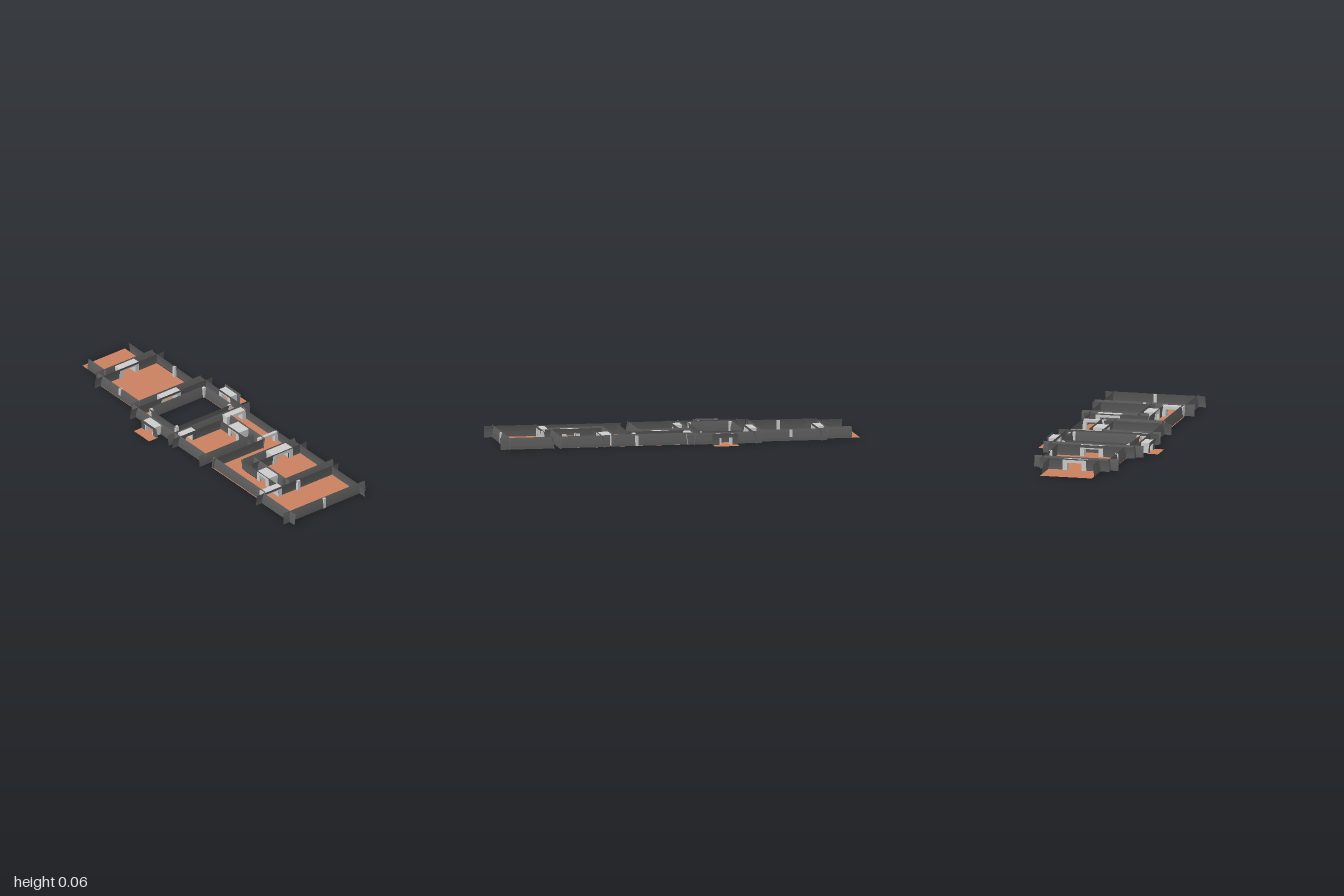
import * as THREE from 'three';

const H = 0.063, DOOR_H = 0.04;
const wallMat = new THREE.MeshStandardMaterial({ color: 0x5c5c5c, side: THREE.DoubleSide, flatShading: true });
const floorMat = new THREE.MeshStandardMaterial({ color: 0xc9805f, side: THREE.DoubleSide });
const greyMat = new THREE.MeshStandardMaterial({ color: 0xcccccc });

export function createModel() {
  const model = new THREE.Group();
  const add = (name, geo, mat) => {
    const m = new THREE.Mesh(geo, mat);
    m.name = name;
    model.add(m);
    return m;
  };

  // flat floor with optional rectangular hole
  const rect = (S, x0, x1, z0, z1) => {
    const s = new S();
    s.moveTo(x0, -z0).lineTo(x1, -z0).lineTo(x1, -z1).lineTo(x0, -z1).closePath();
    return s;
  };
  const floor = (name, x0, x1, z0, z1, hole) => {
    const s = rect(THREE.Shape, x0, x1, z0, z1);
    if (hole) s.holes.push(rect(THREE.Path, ...hole));
    add(name, new THREE.ShapeGeometry(s).rotateX(-Math.PI / 2), floorMat);
  };

  // thin wall whose top curves sideways by lean; 'x' runs along x, 'z' along z
  const sheet = (name, axis, at, a, b, y0, y1, lean) => {
    const g = new THREE.PlaneGeometry(b - a, y1 - y0, 1, 4);
    g.translate((a + b) / 2, (y0 + y1) / 2, 0);
    const p = g.attributes.position;
    for (let i = 0; i < p.count; i++) {
      const u = p.getX(i), y = p.getY(i), v = at + lean * 0.009 * (y / H) ** 2;
      axis === 'x' ? p.setXYZ(i, u, y, v) : p.setXYZ(i, v, y, u);
    }
    g.computeVertexNormals();
    add(name, g, wallMat);
  };
  const wall = (name, axis, at, a, b, lean, door) => {
    if (!door) return sheet(name, axis, at, a, b, 0, H, lean);
    const [d0, d1] = door;
    if (d0 > a) sheet(name, axis, at, a, d0, 0, H, lean);
    if (d1 < b) sheet(name, axis, at, d1, b, 0, H, lean);
    sheet(name + 'Lintel', axis, at, d0, d1, DOOR_H, H, lean);
  };

  // doorway: two jambs, a lintel and a threshold bridging the gap
  const doorway = (axis, a, b, g0, g1) => {
    const s = new THREE.Shape();
    const t = 0.024;
    s.moveTo(a, 0).lineTo(a + t, 0).lineTo(a + t, DOOR_H).lineTo(b - t, DOOR_H);
    s.lineTo(b - t, 0).lineTo(b, 0).lineTo(b, 0.056).lineTo(a, 0.056).closePath();
    const geo = new THREE.ExtrudeGeometry(s, { depth: g1 - g0, bevelEnabled: false });
    if (axis === 'z') geo.rotateY(-Math.PI / 2).translate(g1, 0, 0);
    else geo.translate(0, 0, g0);
    add('doorway', geo, greyMat);
    axis === 'x' ? floor('threshold', a, b, g0, g1) : floor('threshold', g0, g1, a, b);
  };
  const post = (x, z) => add('post', new THREE.BoxGeometry(0.016, 0.06, 0.016), greyMat).position.set(x, 0.03, z);

  // floors
  floor('porchFloor', -0.145, 0.145, -1, -0.81);
  floor('backRoomFloor', -0.195, 0.19, -0.775, -0.44);
  floor('courtyardFloor', -0.24, 0.24, -0.405, -0.065, [-0.18, 0.18, -0.345, -0.12]);
  floor('middleRoomFloor', -0.24, 0.05, -0.03, 0.21);
  floor('passageFloor', 0.11, 0.23, -0.03, 0.25);
  floor('passageFloor', -0.23, 0.23, 0.25, 0.385);
  floor('passageFloor', -0.23, -0.11, 0.385, 0.675);
  floor('frontRoomFloor', -0.05, 0.24, 0.43, 0.675);
  floor('entranceFloor', -0.24, 0.24, 0.71, 0.955);

  // mirrored side walls, posts and side alcoves
  for (const s of [-1, 1]) {
    wall('porchSideWall', 'z', s * 0.145, -0.955, -0.8, -s);
    wall('backRoomSideWall', 'z', s * 0.193, -0.81, -0.44, -s);
    wall('courtyardSideWall', 'z', s * 0.24, -0.44, -0.03, -s, [-0.27, -0.2]);
    wall('courtyardInnerWall', 'z', s * 0.182, -0.345, -0.12, s);
    wall('alcoveWall', 'z', s * 0.281, -0.3, -0.16, s, [-0.27, -0.2]);
    const [a0, a1] = s > 0 ? [0.275, 0.335] : [-0.335, -0.275];
    floor('alcoveFloor', a0, a1, -0.3, -0.165);
    doorway('z', -0.285, -0.185, s > 0 ? 0.235 : -0.281, s > 0 ? 0.281 : -0.235);
    wall('entranceSideWall', 'z', s * 0.24, 0.71, 1, -s);
    post(s * 0.184, -0.61);
    for (const z of [-0.345, -0.12]) post(s * 0.18, z);
  }
  post(0, 0.722);
  post(0, 0.95);

  // back room and courtyard cross walls
  const mid = [-0.042, 0.042];
  wall('backRoomWall', 'x', -0.81, -0.195, 0.195, -1, mid);
  wall('backRoomWall', 'x', -0.775, -0.235, 0.235, 1, mid);
  wall('courtyardWall', 'x', -0.44, -0.24, 0.24, -1, mid);
  wall('courtyardWall', 'x', -0.405, -0.28, 0.28, 1, mid);
  wall('courtyardInnerWall', 'x', -0.345, -0.18, 0.18, -1);
  wall('courtyardInnerWall', 'x', -0.12, -0.18, 0.18, 1);
  wall('courtyardWall', 'x', -0.065, -0.28, 0.115, -1, [-0.19, -0.14]);
  wall('courtyardWall', 'x', -0.065, 0.115, 0.28, -1, [0.125, 0.2]);
  doorway('x', -0.065, 0.065, -0.818, -0.77);
  doorway('x', -0.065, 0.065, -0.445, -0.4);
  doorway('x', -0.21, -0.12, -0.07, -0.03);
  doorway('x', 0.095, 0.225, -0.07, -0.03);

  // middle room
  wall('middleRoomWall', 'x', -0.03, -0.28, 0.05, 1, [-0.19, -0.14]);
  wall('middleRoomWall', 'x', 0.21, -0.28, 0.095, -1);
  wall('middleRoomWall', 'z', -0.24, -0.065, 0.21, 1);
  wall('middleRoomWall', 'z', 0.05, 0.05 - 0.1, 0.25, -1, [0.065, 0.11]);
  doorway('z', 0.04, 0.135, 0.045, 0.115);

  // winding passage
  wall('passageWall', 'z', 0.11, -0.03, 0.275, 1, [0.065, 0.11]);
  wall('passageWall', 'z', 0.225, -0.065, 0.385, -1);
  wall('passageWall', 'x', 0.265, -0.23, 0.11, 1);
  wall('passageWall', 'x', 0.378, -0.11, 0.25, -1, [0.08, 0.155]);
  wall('passageWall', 'z', -0.225, 0.25, 0.71, 1);
  wall('passageWall', 'z', -0.108, 0.365, 0.675, -1, [0.53, 0.58]);
  doorway('x', 0.095, 0.225, 0.236, 0.254);

  // front room
  wall('frontRoomWall', 'x', 0.43, -0.095, 0.28, 1, [0.08, 0.155]);
  wall('frontRoomWall', 'x', 0.675, -0.07, 0.28, -1);
  wall('frontRoomWall', 'z', -0.053, 0.39, 0.7, 1, [0.53, 0.58]);
  wall('frontRoomWall', 'z', 0.238, 0.395, 0.675, -1);
  doorway('x', 0.05, 0.185, 0.37, 0.437);
  doorway('z', 0.505, 0.605, -0.115, -0.05);

  // entrance room
  wall('entranceWall', 'x', 0.71, -0.28, 0.28, 1, [-0.2, -0.13]);
  wall('entranceWall', 'x', 0.955, -0.28, 0.28, -1);
  doorway('x', -0.225, -0.105, 0.67, 0.715);

  return model;
}
